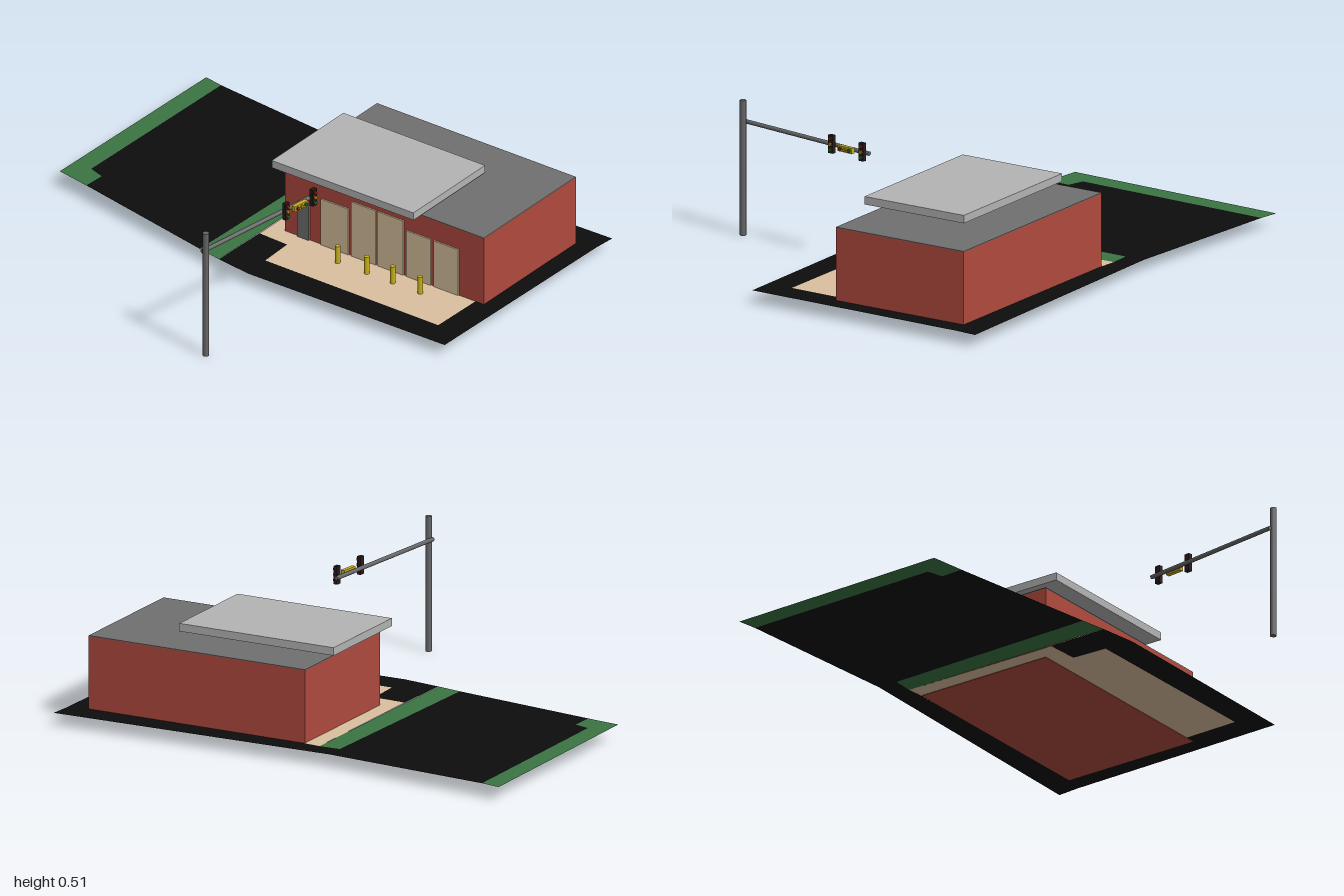
import * as THREE from 'three';

const mat = (color, side = THREE.FrontSide) => new THREE.MeshStandardMaterial({ color, side });
const BRICK = mat(0xb04a3e), ROOF = mat(0x707070), CANOPY = mat(0xb4b4b4), PANEL = mat(0xd8c09c);
const STEEL = mat(0x666668), YELLOW = mat(0xc8b01c), DARK = mat(0x2a1a18);
const GROUND = 0.046;

function add(parent, name, geometry, material, x = 0, y = 0, z = 0) {
  const mesh = new THREE.Mesh(geometry, material);
  mesh.name = name;
  mesh.position.set(x, y, z);
  parent.add(mesh);
  return mesh;
}

// box given by its limits on each axis
function block(parent, name, material, [x0, x1], [y0, y1], [z0, z1]) {
  return add(parent, name, new THREE.BoxGeometry(x1 - x0, y1 - y0, z1 - z0), material,
    (x0 + x1) / 2, (y0 + y1) / 2, (z0 + z1) / 2);
}

// flat ground patch from [x, z] corners; the road rises gently towards its far end
function patch(parent, name, color, corners) {
  const shape = new THREE.Shape(corners.map(([x, z]) => new THREE.Vector2(x, -z)));
  const geo = new THREE.ShapeGeometry(shape).rotateX(-Math.PI / 2);
  const p = geo.attributes.position;
  for (let i = 0; i < p.count; i++) {
    const t = Math.max(0, (-0.2 - p.getX(i)) / 0.77);
    p.setY(i, GROUND + 0.002 + t * (0.01 + 0.011 * p.getZ(i)));
  }
  geo.computeVertexNormals();
  return add(parent, name, geo, mat(color, THREE.DoubleSide));
}

// straight round bar between two points
function bar(parent, name, a, b, radius, material) {
  const dir = b.clone().sub(a);
  const mesh = add(parent, name, new THREE.CylinderGeometry(radius, radius, dir.length(), 12), material);
  mesh.position.copy(a).add(b).multiplyScalar(0.5);
  mesh.quaternion.setFromUnitVectors(new THREE.Vector3(0, 1, 0), dir.normalize());
  return mesh;
}

// signal head: housing and three lamps on its +z face
function signal(parent, name, x, y, z, material, horizontal) {
  const g = new THREE.Group();
  g.name = name;
  g.position.set(x, y, z);
  g.rotation.set(0, Math.atan2(0.69, 0.73), horizontal ? Math.PI / 2 : 0);
  add(g, 'housing', new THREE.BoxGeometry(0.022, 0.068, 0.016), material);
  [0x8a2018, 0xb08a18, 0x1c6a30].forEach((color, i) =>
    add(g, 'lamp', new THREE.CylinderGeometry(0.007, 0.007, 0.006, 10).rotateX(Math.PI / 2),
      mat(color), 0, 0.021 - i * 0.021, 0.01));
  parent.add(g);
}

export function createModel() {
  const model = new THREE.Group();
  model.name = 'shopWithRoad';

  // the whole plot is turned 40 degrees
  const site = new THREE.Group();
  site.name = 'site';
  site.rotation.y = -40 * Math.PI / 180;
  model.add(site);

  // ground patches laid edge to edge
  patch(site, 'parkingLot', 0x0d0d0d, [
    [-0.219, -0.417], [0.911, -0.439], [0.904, -0.354], [0.889, 0.546], [0.008, 0.554], [-0.139, 0.534],
    [-0.135, 0.294], [-0.006, 0.3], [0, 0.44], [0.784, 0.444], [0.788, 0.224], [0.826, 0.224],
    [0.826, -0.333], [-0.07, -0.336], [-0.137, -0.342], [-0.219, -0.339]]);
  patch(site, 'road', 0x0d0d0d, [
    [-0.888, -0.482], [-0.219, -0.417], [-0.219, -0.339], [-0.24, 0.515],
    [-0.834, 0.406], [-0.83, 0.318], [-0.892, 0.298]]);
  patch(site, 'nearVerge', 0x3b7443, [[-0.219, -0.339], [-0.137, -0.342], [-0.139, 0.534], [-0.24, 0.515]]);
  patch(site, 'farVerge', 0x3b7443, [
    [-0.965, -0.496], [-0.888, -0.482], [-0.892, 0.298], [-0.83, 0.318], [-0.834, 0.406], [-0.97, 0.384]]);
  patch(site, 'pavement', 0xdcc09f, [
    [-0.137, -0.342], [-0.07, -0.336], [-0.072, 0.224], [0.788, 0.224],
    [0.784, 0.444], [0, 0.44], [-0.006, 0.3], [-0.135, 0.294]]);

  // building
  block(site, 'walls', BRICK, [-0.072, 0.826], [GROUND, 0.322], [-0.333, 0.224]);
  block(site, 'roof', ROOF, [-0.072, 0.826], [0.322, 0.325], [-0.333, 0.224]);
  block(site, 'canopy', CANOPY, [-0.088, 0.552], [0.333, 0.363], [-0.15, 0.283]);

  // shop front panels: start, end, top
  [[0.093, 0.217, 0.24], [0.23, 0.341, 0.275], [0.347, 0.465, 0.275],
    [0.478, 0.589, 0.24], [0.602, 0.713, 0.24]].forEach(([x0, x1, top]) =>
    block(site, 'frontPanel', PANEL, [x0, x1], [GROUND + 0.003, top], [0.22, 0.23]));
  block(site, 'door', ROOF, [-0.012, 0.04], [GROUND + 0.003, 0.195], [0.22, 0.232]);

  // bollards
  for (const x of [0.219, 0.35, 0.468, 0.592])
    add(site, 'bollard', new THREE.CylinderGeometry(0.01, 0.01, 0.07, 12), YELLOW, x, 0.084, 0.296);

  // signal mast with its arm and heads
  const mast = new THREE.Group();
  mast.name = 'signalMast';
  model.add(mast);
  bar(mast, 'pole', new THREE.Vector3(-0.532, 0, 0.93), new THREE.Vector3(-0.532, 0.51, 0.93), 0.012, STEEL);
  bar(mast, 'arm', new THREE.Vector3(-0.545, 0.425, 0.917), new THREE.Vector3(-0.112, 0.418, 0.515), 0.008, STEEL);
  signal(mast, 'outerSignal', -0.12, 0.424, 0.54, DARK, false);
  signal(mast, 'middleSignal', -0.172, 0.42, 0.594, YELLOW, true);
  signal(mast, 'innerSignal', -0.225, 0.426, 0.64, DARK, false);

  return model;
}
